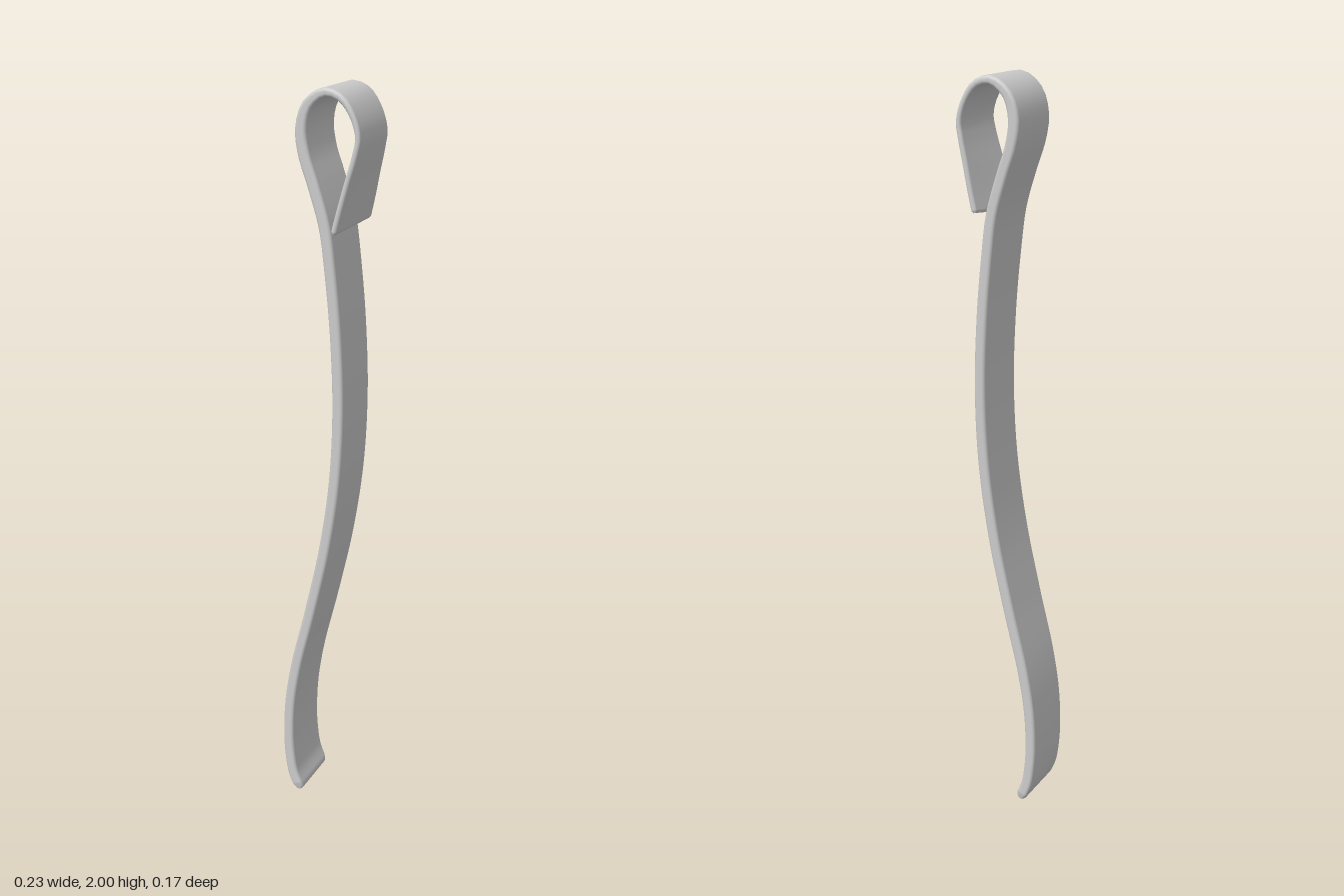
import * as THREE from 'three';

const WIDTH = 0.166, STEPS = 160, CORNER = 5;

// Centre line of the bent strip, from the lower tip up and round the hook
const path = new THREE.CatmullRomCurve3([
  [-0.067, 0.006], [-0.088, 0.06], [-0.098, 0.13], [-0.1, 0.2], [-0.094, 0.3], [-0.074, 0.42],
  [-0.03, 0.6], [0.014, 0.8], [0.043, 1.0], [0.053, 1.2], [0.046, 1.4], [0.03, 1.57],
  [0.016, 1.67], [-0.014, 1.77], [-0.038, 1.84], [-0.046, 1.9], [-0.031, 1.955], [0.0, 1.984],
  [0.025, 1.991], [0.06, 1.979], [0.09, 1.94], [0.105, 1.89], [0.099, 1.85],
  [0.081, 1.78], [0.065, 1.715], [0.052, 1.663],
].map(([x, y]) => new THREE.Vector3(x, y, 0)), false, 'centripetal');

// Rounded rectangle, counter-clockwise: x across the thickness, y across the width
function section(thickness, width) {
  const r = Math.min(0.009, thickness * 0.45), pts = [];
  [[1, 1], [-1, 1], [-1, -1], [1, -1]].forEach(([sx, sy], q) => {
    for (let i = 0; i <= CORNER; i++) {
      const a = (q + i / CORNER) * Math.PI / 2;
      pts.push([sx * (thickness / 2 - r) + r * Math.cos(a), sy * (width / 2 - r) + r * Math.sin(a)]);
    }
  });
  return pts;
}

function stripGeometry() {
  const positions = [], index = [], n = 4 * (CORNER + 1), length = path.getLength();
  const { smoothstep, lerp } = THREE.MathUtils;
  for (let s = 0; s <= STEPS; s++) {
    // Rings crowd together at both ends to round the tips
    const t = s / STEPS, u = t - Math.sin(2 * Math.PI * t) / (2 * Math.PI) * 0.9;
    const p = path.getPointAt(u), d = path.getTangentAt(u);
    const tip = Math.min(1, u * length / 0.022);
    const end = Math.min(1, (1 - u) * length / 0.006);
    const round = 0.45 + 0.55 * Math.sqrt(1 - (1 - tip) ** 2);
    const thickness = lerp(0.031, 0.015, smoothstep(u, 0.78, 0.9)) * round * (0.6 + 0.4 * end);
    const width = WIDTH - 0.01 * (1 - tip) - 0.005 * (1 - end);
    const twist = smoothstep(u, 0.89, 1);
    for (const [a, z] of section(thickness, width)) {
      // The free end of the hook is twisted a little
      positions.push(p.x - d.y * a - 0.14 * twist * z, p.y + d.x * a - 0.09 * twist * z, z);
    }
  }
  for (let s = 0; s < STEPS; s++) for (let i = 0; i < n; i++) {
    const a = s * n + i, b = s * n + (i + 1) % n;
    index.push(a, b, b + n, a, b + n, a + n);
  }
  // End caps with their own vertices, so the rims stay crisp
  for (const s of [0, STEPS]) {
    const base = positions.length / 3;
    positions.push(...positions.slice(s * n * 3, (s + 1) * n * 3));
    for (let i = 1; i < n - 1; i++) {
      if (s === 0) index.push(base, base + i + 1, base + i);
      else index.push(base, base + i, base + i + 1);
    }
  }
  const g = new THREE.BufferGeometry();
  g.setAttribute('position', new THREE.Float32BufferAttribute(positions, 3));
  g.setIndex(index);
  g.computeVertexNormals();
  return g;
}

export function createModel() {
  const group = new THREE.Group();
  group.name = 'bentClip';
  const strip = new THREE.Mesh(stripGeometry(), new THREE.MeshStandardMaterial({ color: 0xcccccc }));
  strip.name = 'hookedStrip';
  group.add(strip);
  return group;
}
